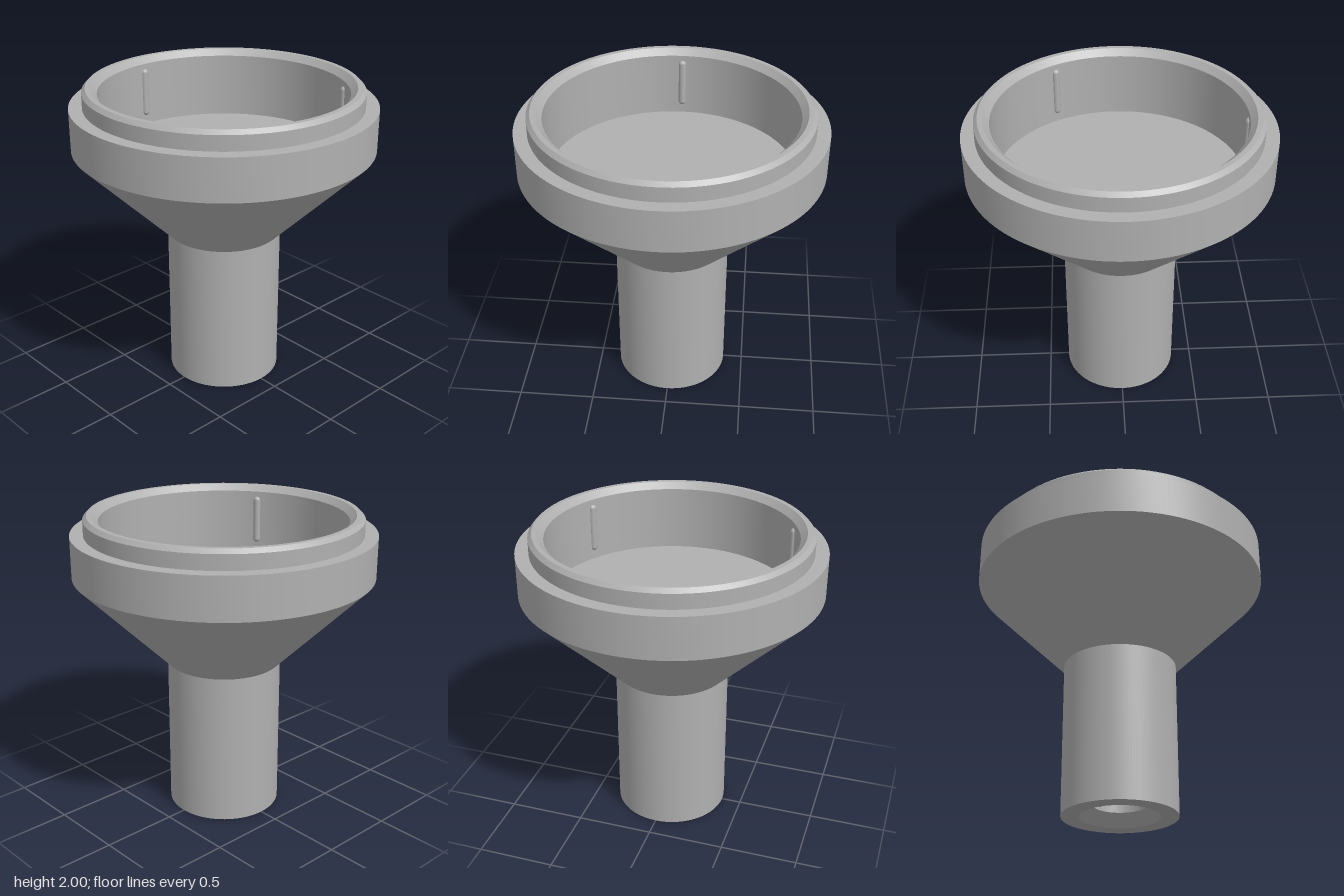
import * as THREE from 'three';
import { toCreasedNormals } from 'three/addons/utils/BufferGeometryUtils.js';

export function createModel() {
  const model = new THREE.Group();
  model.name = 'flaredAdapter';
  const grey = new THREE.MeshStandardMaterial({ color: 0xb0b0b0 });
  grey.name = 'grey';

  // Revolved part with crisp edges between profile segments
  function turned(name, profile) {
    const points = profile.map(([r, y]) => new THREE.Vector2(r, y));
    const geometry = toCreasedNormals(new THREE.LatheGeometry(points, 128), 0.5);
    const mesh = new THREE.Mesh(geometry, grey);
    mesh.name = name;
    model.add(mesh);
  }

  // Three rounded ribs half sunk into a cylindrical wall
  function ribs(name, wall, radius, bottom, top, startAngle) {
    const geometry = new THREE.CapsuleGeometry(radius, top - bottom - 2 * radius, 8, 20);
    for (let i = 0; i < 3; i++) {
      const angle = startAngle + (i * Math.PI * 2) / 3;
      const rib = new THREE.Mesh(geometry, grey);
      rib.name = name;
      rib.position.set(Math.cos(angle) * wall, (bottom + top) / 2, Math.sin(angle) * wall);
      model.add(rib);
    }
  }

  // Blind countersunk socket inside the stem
  turned('stemSocket', [[0, 0.5], [0.175, 0.5], [0.175, 0.08], [0.255, 0]]);
  turned('stem', [[0.255, 0], [0.37, 0], [0.37, 1.015]]);
  turned('flare', [[0.37, 1.015], [0.965, 1.61]]);

  // Wide band, stepped spigot and chamfered rim
  turned('collar', [[0.965, 1.61], [0.965, 1.88], [0.88, 1.88]]);
  turned('rim', [[0.88, 1.88], [0.88, 1.975], [0.856, 2], [0.825, 2], [0.785, 1.96]]);
  turned('cupInterior', [[0.785, 1.96], [0.785, 1.54], [0, 1.54]]);

  ribs('cupRib', 0.79, 0.025, 1.6, 1.925, Math.PI / 3);
  ribs('socketRib', 0.178, 0.018, 0.1, 0.42, 0);
  return model;
}
